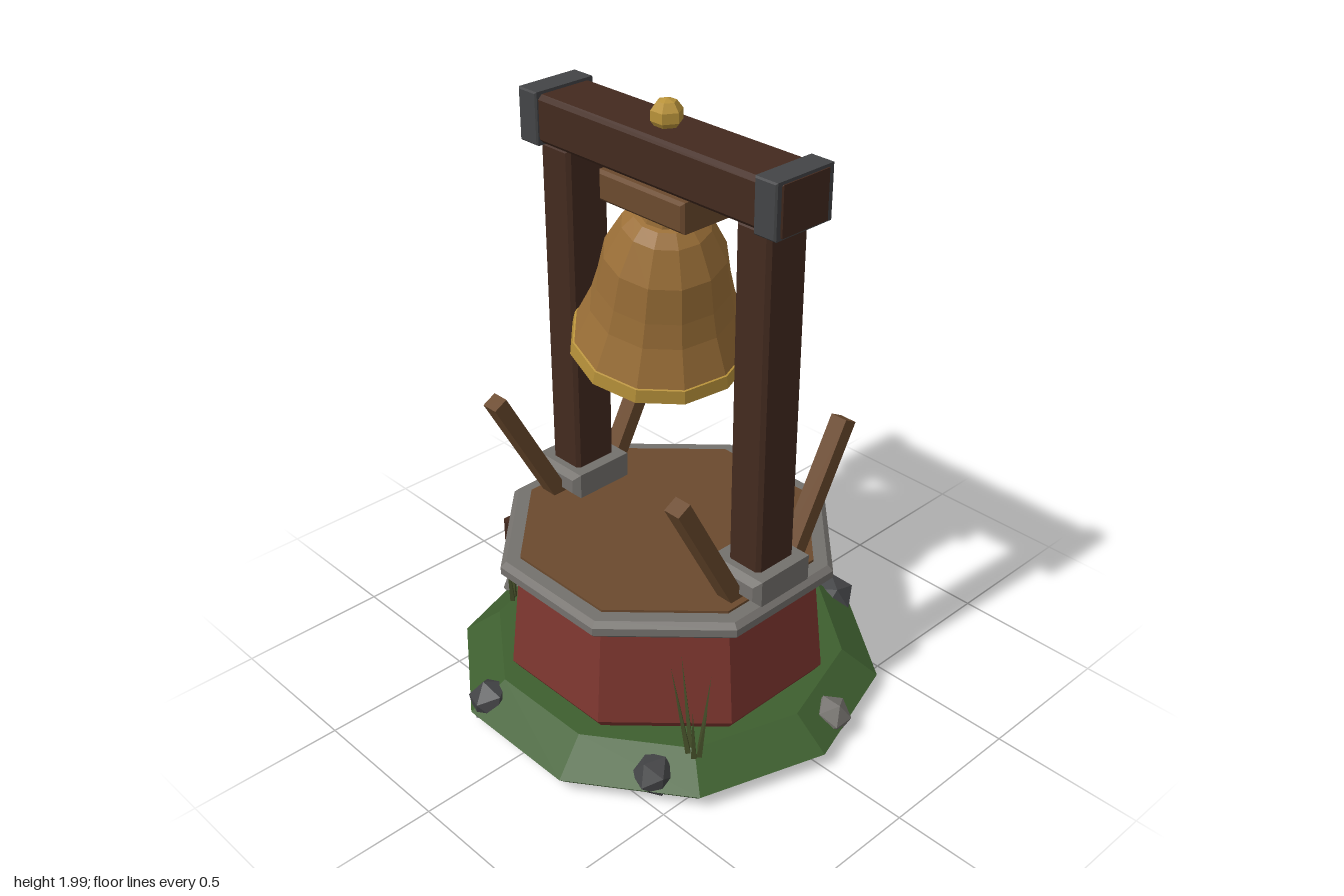
import * as THREE from 'three';

const mat = (name, color) => {
  const m = new THREE.MeshStandardMaterial({ color, flatShading: true });
  m.name = name;
  return m;
};

export function createModel() {
  const darkWood = mat('dark wood', 0x432a1f);
  const lightWood = mat('light wood', 0x6b4a2e);
  const bronze = mat('bronze', 0x9c7038);
  const gold = mat('gold', 0xb8923a);
  const brick = mat('red brick', 0x7d362f);
  const stone = mat('stone', 0x74716d);
  const iron = mat('iron', 0x434446);
  const grass = mat('grass', 0x3e5f2f);
  const reed = mat('reed', 0x46502a);
  reed.side = THREE.DoubleSide;

  const model = new THREE.Group();
  model.name = 'bellShrine';

  const add = (name, geo, material, x = 0, y = 0, z = 0, parent = model) => {
    const mesh = new THREE.Mesh(geo, material);
    mesh.name = name;
    mesh.position.set(x, y, z);
    parent.add(mesh);
    return mesh;
  };
  const group = (name, x, y, z, parent = model) => {
    const g = new THREE.Group();
    g.name = name;
    g.position.set(x, y, z);
    parent.add(g);
    return g;
  };
  // Faceted solid of revolution; profile runs bottom to top
  const lathe = (pts, sides, phi = 0) =>
    new THREE.LatheGeometry(pts.map(([r, y]) => new THREE.Vector2(r, y)), sides, phi);
  // Box with chamfered edges
  const chamferBox = (w, h, d, c) => {
    const a = w / 2 - c, b = h / 2 - c;
    const shape = new THREE.Shape([[-a, -b], [a, -b], [a, b], [-a, b]].map(p => new THREE.Vector2(...p)));
    const geo = new THREE.ExtrudeGeometry(shape, {
      depth: d - 2 * c, bevelEnabled: true, bevelSize: c, bevelThickness: c, bevelSegments: 1,
    });
    geo.center();
    return geo;
  };

  // Ground mound and octagonal base
  add('grassMound', lathe([[0, 0.025], [0.665, 0.025], [0.7, 0.06], [0.58, 0.15], [0, 0.155]], 10, Math.PI / 10), grass);
  const oct = 1 / Math.cos(Math.PI / 8);
  const octagon = pts => lathe(pts.map(([r, y]) => [r * oct, y]), 8, Math.PI / 8);
  add('brickBase', octagon([[0, 0.14], [0.475, 0.15], [0.495, 0.18], [0.465, 0.49], [0.44, 0.515], [0, 0.516]]), brick);
  add('stoneRim', octagon([[0, 0.514], [0.5, 0.515], [0.515, 0.53], [0.515, 0.555], [0.498, 0.572], [0, 0.572]]), stone);
  add('woodenFloor', octagon([[0, 0.56], [0.455, 0.56], [0.455, 0.58], [0, 0.58]]), lightWood);

  // Rocks around the mound: x, z, radius, material
  [
    [0.605, -0.135, 0.066, stone], [0.41, 0.455, 0.07, iron], [-0.2, 0.595, 0.075, iron],
    [-0.615, 0.125, 0.068, stone], [-0.42, -0.47, 0.08, stone], [0.195, -0.61, 0.08, iron],
  ].forEach(([x, z, r, m], i) => {
    const rock = add('rock', new THREE.IcosahedronGeometry(r, 0), m, x, 0.08, z);
    rock.rotation.set(i * 0.7, i * 1.9, i * 0.4);
  });

  // Posts with stone feet, leaning braces and iron beam caps
  for (const s of [-1, 1]) {
    const x = s * 0.405;
    add('post', chamferBox(0.128, 1.2, 0.158, 0.012), darkWood, x, 1.17, 0);
    add('postFoot', chamferBox(0.205, 0.088, 0.245, 0.02), stone, x, 0.622, 0);
    for (const t of [-1, 1]) {
      const brace = add('brace', new THREE.BoxGeometry(0.058, 0.52, 0.052), lightWood, x, 0.772, t * 0.23);
      brace.rotation.x = t * 0.495;
    }
    add('beamCap', chamferBox(0.08, 0.165, 0.226, 0.005), iron, s * 0.478, 1.848, 0);
  }
  add('beam', chamferBox(1.044, 0.15, 0.206, 0.014), darkWood, 0, 1.846, 0);
  add('yoke', chamferBox(0.35, 0.095, 0.218, 0.01), lightWood, -0.003, 1.72, 0);
  add('finialStem', new THREE.CylinderGeometry(0.025, 0.035, 0.04, 6), gold, -0.003, 1.925, 0);
  add('finial', new THREE.SphereGeometry(0.05, 6, 5), gold, -0.003, 1.951, 0);

  // Swinging bell, hung from the yoke
  const bell = group('bell', 0, 1.68, 0);
  bell.rotation.set(0.15, 0, -0.21);
  add('bellNeck', new THREE.CylinderGeometry(0.07, 0.09, 0.08, 10), bronze, 0, -0.005, 0, bell);
  add('bellBody', lathe([
    [0, -0.06], [0.11, -0.09], [0.17, -0.2], [0.195, -0.34], [0.255, -0.5],
    [0.276, -0.485], [0.226, -0.36], [0.207, -0.28], [0.187, -0.165], [0.135, -0.06], [0.1, -0.025], [0, -0.015],
  ], 12), bronze, 0, 0, 0, bell);
  add('bellLip', lathe([
    [0.245, -0.485], [0.258, -0.527], [0.287, -0.525], [0.279, -0.48], [0.255, -0.475],
  ], 12), gold, 0, 0, 0, bell);

  // Clapper
  const clapper = group('clapper', 0, 1.68, 0);
  clapper.rotation.set(0.135, 0, -0.253);
  add('clapperRod', new THREE.CylinderGeometry(0.015, 0.015, 0.56, 6), iron, 0, -0.34, 0, clapper);
  add('clapperBall', new THREE.SphereGeometry(0.1, 8, 6), iron, 0, -0.66, 0, clapper);

  // Reed tufts against the base: x, z, with seed head or not
  [[0.475, 0.345, false], [-0.5, 0.25, true], [-0.045, -0.515, true]].forEach(([x, z, head], k) => {
    const tuft = group('reedTuft', x, 0.14, z);
    const blades = head ? 3 : 5;
    for (let i = 0; i < blades; i++) {
      const h = 0.2 + 0.065 * ((i * 2 + k) % 3);
      const geo = new THREE.ConeGeometry(0.011, h, 4);
      geo.translate(0, h / 2, 0);
      const a = i * 2.4 + k;
      const blade = add('blade', geo, reed, Math.cos(a) * 0.02, 0, Math.sin(a) * 0.02, tuft);
      blade.rotation.set(Math.sin(a) * 0.16, 0, -Math.cos(a) * 0.16);
    }
    if (head) {
      add('reedStalk', new THREE.CylinderGeometry(0.006, 0.008, 0.26, 5), reed, 0, 0.13, 0, tuft);
      add('seedHead', new THREE.CylinderGeometry(0.022, 0.022, 0.085, 6), darkWood, 0, 0.285, 0, tuft);
    }
  });

  return model;
}
